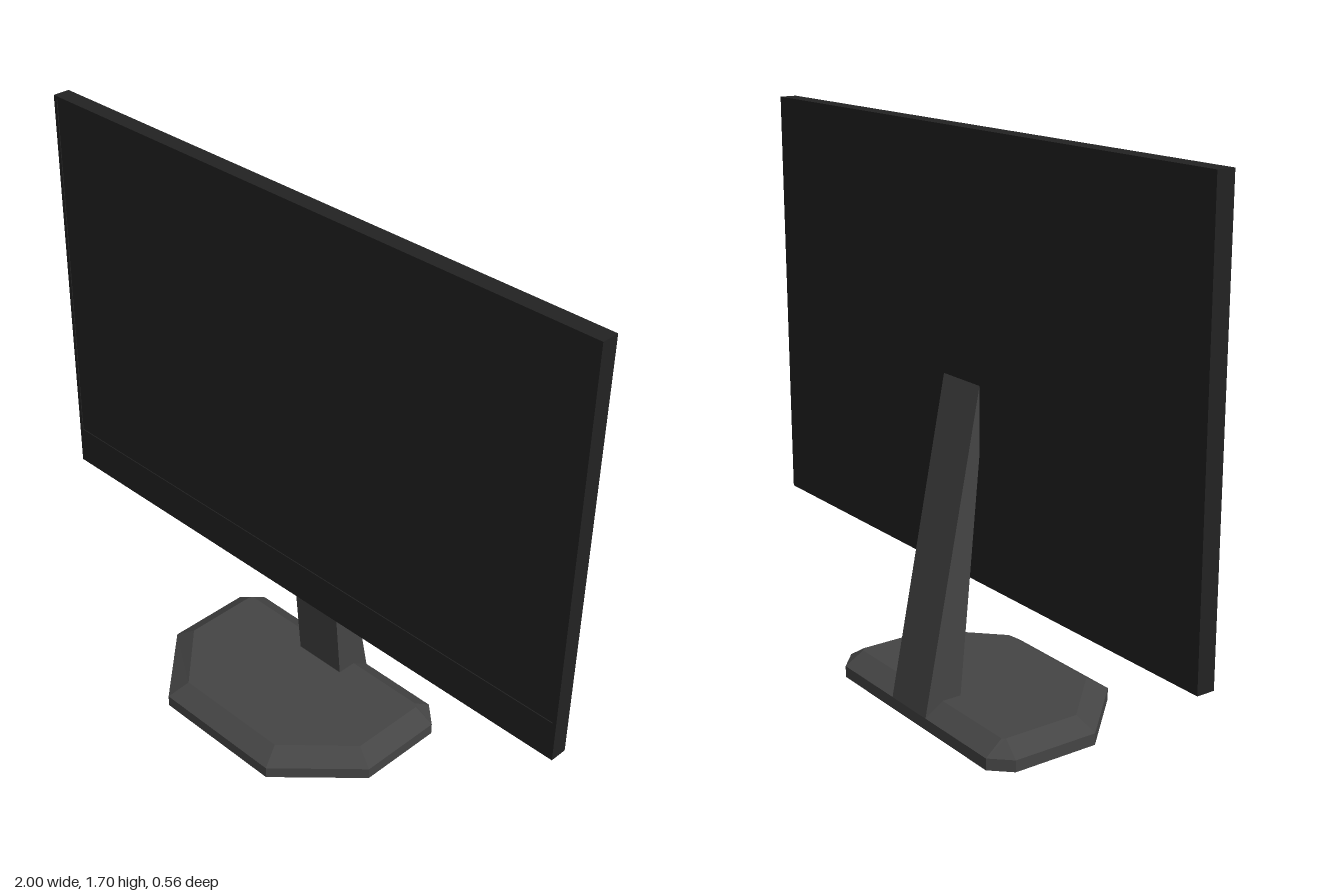
import * as THREE from 'three';

const screenBlack = new THREE.MeshStandardMaterial({ color: 0x222222 });
screenBlack.name = 'screenBlack';
const standGrey = new THREE.MeshStandardMaterial({ color: 0x454545 });
standGrey.name = 'standGrey';

function addMesh(group, name, geometry, material) {
  const mesh = new THREE.Mesh(geometry, material);
  mesh.name = name;
  group.add(mesh);
  return mesh;
}

// Flat-faced solid through stacked convex rings of [x, z] corners, capped at both ends
function loftRings(rings) {
  const pos = [];
  const n = rings[0].pts.length;
  const at = (ring, i) => [ring.pts[i % n][0], ring.y, ring.pts[i % n][1]];
  const top = rings[rings.length - 1];
  const bottom = rings[0];
  for (let i = 0; i < n; i++) {
    for (let r = 0; r < rings.length - 1; r++) {
      const a = at(rings[r], i), b = at(rings[r], i + 1);
      const c = at(rings[r + 1], i + 1), d = at(rings[r + 1], i);
      pos.push(...a, ...b, ...c, ...a, ...c, ...d);
    }
    pos.push(0, top.y, 0, ...at(top, i), ...at(top, i + 1));
    pos.push(0, bottom.y, 0, ...at(bottom, i + 1), ...at(bottom, i));
  }
  const g = new THREE.BufferGeometry();
  g.setAttribute('position', new THREE.Float32BufferAttribute(pos, 3));
  g.computeVertexNormals();
  return g;
}

function rectPoints(x0, y0, x1, y1) {
  return [[x0, y0], [x1, y0], [x1, y1], [x0, y1]].map(([x, y]) => new THREE.Vector2(x, y));
}

export function createModel() {
  const model = new THREE.Group();
  model.name = 'monitor';

  // Display housing with a thin raised bezel around the panel
  const front = -0.031, back = -0.086, lip = 0.003;
  const bottom = 0.41, top = 1.7;
  const depth = front - lip - back;
  addMesh(model, 'displayPanel', new THREE.BoxGeometry(2, top - bottom, depth), screenBlack)
    .position.set(0, (top + bottom) / 2, back + depth / 2);

  const bezel = new THREE.Shape(rectPoints(-1, bottom, 1, top));
  bezel.holes.push(new THREE.Path(rectPoints(-0.988, 0.535, 0.988, 1.69)));
  addMesh(model, 'bezel',
    new THREE.ExtrudeGeometry(bezel, { depth: lip, bevelEnabled: false }), screenBlack)
    .position.z = front - lip;

  // Eight-sided foot with a sloped rim
  const outer = [[-0.435, 0.06], [-0.228, 0.277], [0.212, 0.277], [0.428, 0.06],
    [0.428, -0.218], [0.362, -0.278], [-0.378, -0.278], [-0.435, -0.218]];
  const inner = [[-0.376, 0.038], [-0.2, 0.217], [0.188, 0.217], [0.369, 0.038],
    [0.369, -0.208], [0.356, -0.218], [-0.368, -0.218], [-0.376, -0.208]];
  addMesh(model, 'foot', loftRings([
    { y: 0, pts: outer }, { y: 0.036, pts: outer }, { y: 0.075, pts: inner }
  ]), standGrey);

  // Tapered leaning neck, drawn as a side profile of [distance behind centre, height]
  const profile = [[0.155, 0.036], [0.278, 0.036], [0.085, 1.0], [0.085, 0.81], [0.155, 0.075]];
  const neckShape = new THREE.Shape(profile.map(([a, y]) => new THREE.Vector2(a, y)));
  const neck = new THREE.ExtrudeGeometry(neckShape, { depth: 0.175, bevelEnabled: false });
  neck.rotateY(Math.PI / 2);
  neck.translate(-0.08, 0, 0);
  addMesh(model, 'neck', neck, standGrey);

  return model;
}
